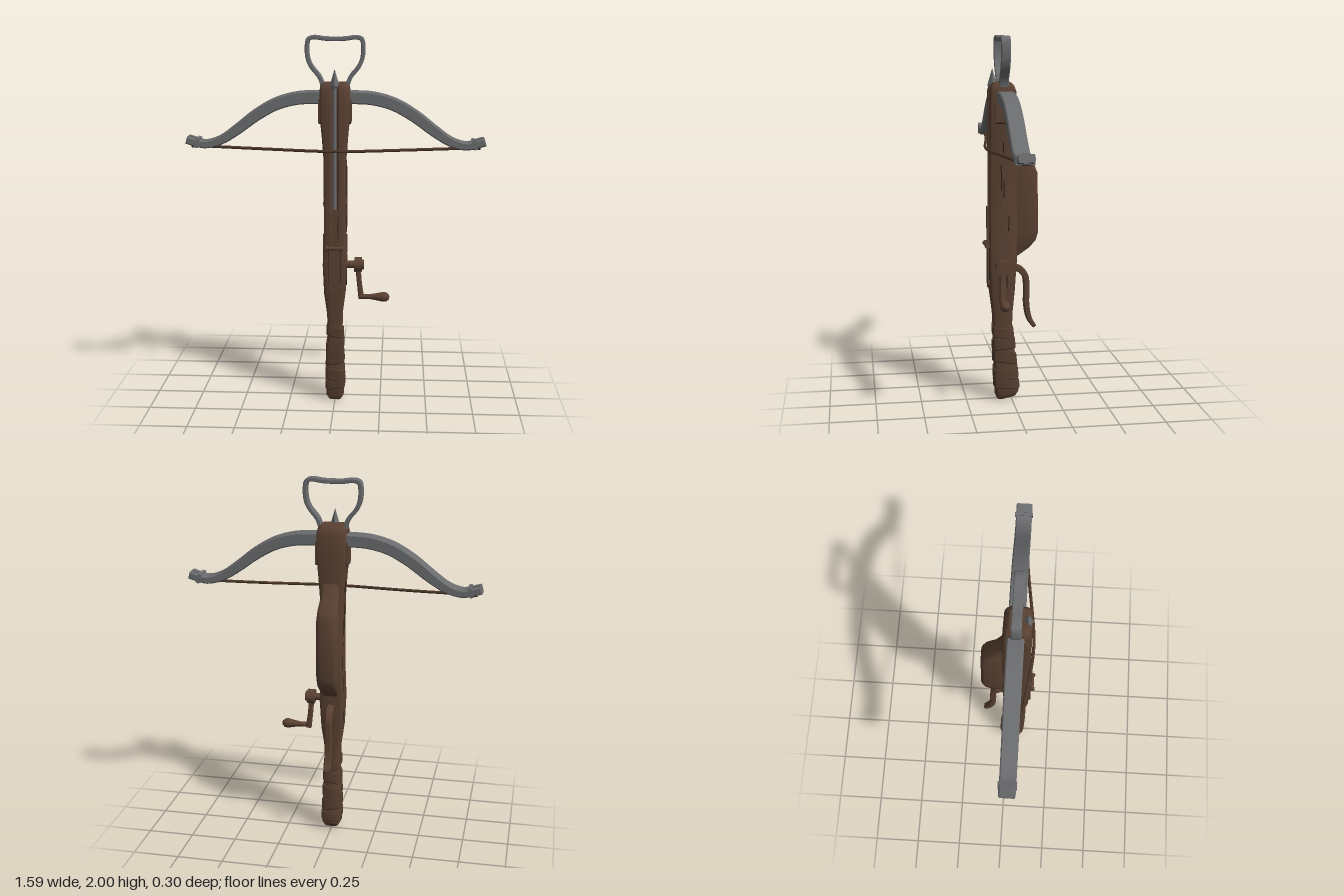
import * as THREE from 'three';
import { toCreasedNormals } from 'three/addons/utils/BufferGeometryUtils.js';

const mat = (name, color) => {
  const m = new THREE.MeshStandardMaterial({ color });
  m.name = name;
  return m;
};

// Stock sections: y, half width, back z, front z, groove depth, corner size
const STOCK = [
  [0.012, 0.036, -0.025, 0.075, 0, 0.02],
  [0.035, 0.048, -0.04, 0.088, 0, 0.025],
  [0.1, 0.048, -0.037, 0.092, 0, 0.025],
  [0.25, 0.044, -0.022, 0.097, 0, 0.025],
  [0.42, 0.04, -0.004, 0.1, 0, 0.022],
  [0.5, 0.042, -0.006, 0.104, 0, 0.02],
  [0.62, 0.057, -0.015, 0.118, 0, 0.018],
  [0.78, 0.064, -0.025, 0.122, 0, 0.016],
  [0.9, 0.06, -0.028, 0.122, 0.002, 0.016],
  [0.98, 0.057, -0.03, 0.122, 0.022, 0.016],
  [1.35, 0.058, -0.03, 0.122, 0.025, 0.016],
  [1.48, 0.068, -0.03, 0.122, 0.025, 0.018],
  [1.6, 0.08, -0.025, 0.122, 0.025, 0.02],
  [1.71, 0.08, -0.02, 0.12, 0.026, 0.022],
  [1.74, 0.075, -0.01, 0.113, 0.026, 0.022],
  [1.757, 0.06, 0.008, 0.098, 0.022, 0.02],
];

// Closed loft along y; each section may also tilt (tz, tx) and narrow at the front (taper)
function loft(sections, crease = 0.6) {
  const pos = [], idx = [];
  let n = 0;
  for (const [y, w, b, f, g, c, tz = 0, tx = 0, taper = 1] of sections) {
    const wf = w * taper, k = c * 0.3;
    const half = [
      [0.012, f - g], [0.021, f], [wf - c, f], [wf - k, f - k], [wf, f - c],
      [w, b + c], [w - k, b + k], [w - c, b],
    ];
    const ring = [...half, ...half.map(([x, z]) => [-x, z]).reverse()];
    n = ring.length;
    for (const [x, z] of ring) pos.push(x, y + tz * (z - 0.03) + tx * x, z);
  }
  const rows = sections.length;
  for (let i = 0; i < rows - 1; i++)
    for (let j = 0; j < n; j++) {
      const a = i * n + j, b = i * n + (j + 1) % n;
      idx.push(a, b, a + n, b, b + n, a + n);
    }
  for (const r of [0, rows - 1]) {
    const s = sections[r], centre = pos.length / 3;
    pos.push(0, s[0], (s[2] + s[3]) / 2);
    for (let j = 0; j < n; j++) {
      const a = r * n + j, b = r * n + (j + 1) % n;
      if (r) idx.push(centre, a, b); else idx.push(centre, b, a);
    }
  }
  const geo = new THREE.BufferGeometry();
  geo.setAttribute('position', new THREE.Float32BufferAttribute(pos, 3));
  geo.setIndex(idx);
  return toCreasedNormals(geo, crease);
}

// Stock section at any height
function stockAt(y) {
  const i = Math.max(1, STOCK.findIndex(s => s[0] >= y));
  const a = STOCK[i - 1], b = STOCK[i], t = (y - a[0]) / (b[0] - a[0]);
  return a.map((v, k) => v + (b[k] - v) * t);
}

// Flat bar following [x, y, thickness] points, extruded from z0 to z1
function ribbon(points, z0, z1, bevel = 0.006, steps = 40) {
  const curve = new THREE.CatmullRomCurve3(points.map(p => new THREE.Vector3(...p)));
  const left = [], right = [];
  for (let i = 0; i <= steps; i++) {
    const p = curve.getPoint(i / steps), t = curve.getTangent(i / steps);
    const l = Math.hypot(t.x, t.y), h = p.z / 2 - bevel;
    left.push(new THREE.Vector2(p.x - t.y / l * h, p.y + t.x / l * h));
    right.unshift(new THREE.Vector2(p.x + t.y / l * h, p.y - t.x / l * h));
  }
  const geo = new THREE.ExtrudeGeometry(new THREE.Shape([...left, ...right]), {
    depth: z1 - z0 - 2 * bevel, bevelThickness: bevel, bevelSize: bevel, bevelSegments: 1,
  });
  geo.translate(0, 0, z0 + bevel);
  return toCreasedNormals(geo, 0.6);
}

export function createModel() {
  const group = new THREE.Group();
  const wood = mat('wood', 0x5a4132), leather = mat('leather', 0x553d2f);
  const steel = mat('steel', 0x6b6c6e), cord = mat('cord', 0x4b3629), dark = mat('dark seam', 0x251a14);
  const add = (name, geo, m, x = 0, y = 0, z = 0) => {
    const mesh = new THREE.Mesh(geo, m);
    mesh.name = name;
    mesh.position.set(x, y, z);
    group.add(mesh);
    return mesh;
  };
  const box = (name, m, w, h, d, x, y, z) => add(name, new THREE.BoxGeometry(w, h, d), m, x, y, z);
  const rod = (name, m, r, len, x, y, z, axis = 'x', sides = 16) => {
    const mesh = add(name, new THREE.CylinderGeometry(r, r, len, sides), m, x, y, z);
    if (axis === 'x') mesh.rotation.z = Math.PI / 2;
    if (axis === 'z') mesh.rotation.x = Math.PI / 2;
    return mesh;
  };

  // Stock and the swollen belly on its back
  add('stock', loft(STOCK.map((s, i) => [...s, i < 2 ? -0.2 : 0])), wood);
  add('belly', loft([
    [0.82, 0.04, -0.035, 0.02, 0, 0.012],
    [0.86, 0.046, -0.092, 0.02, 0, 0.018],
    [0.9, 0.054, -0.13, 0.02, 0, 0.022],
    [0.95, 0.058, -0.145, 0.02, 0, 0.024],
    [1.1, 0.058, -0.142, 0.02, 0, 0.024],
    [1.27, 0.058, -0.14, 0.02, 0, 0.024],
    [1.32, 0.055, -0.12, 0.02, 0, 0.022],
    [1.37, 0.05, -0.07, 0.02, 0, 0.018],
    [1.45, 0.045, -0.03, 0.02, 0, 0.012],
  ].map(s => [...s, 0, 0, 0.82]), 0.8), wood);

  // Leather wraps round the grip, each with a dark lower seam
  for (const [y, h, tz, tx] of [[0.07, 0.045, 0.05, 0.1], [0.13, 0.06, -0.1, -0.15],
    [0.21, 0.06, 0.15, 0.2], [0.29, 0.06, -0.1, 0.2], [0.37, 0.05, 0.1, -0.2]]) {
    const band = (y0, y1, grow) => loft([y0, y1].map(v => {
      const s = stockAt(v);
      return [v, s[1] + grow, s[2] - grow, s[3] + grow, 0, s[5], tz, tx];
    }));
    add('gripWrap', band(y, y + h, 0.006), leather);
    add('wrapSeam', band(y - 0.004, y, 0.003), dark);
  }

  // Bow limbs, tip bindings and cheek blocks
  const half = [[0.1, 1.678, 0.066], [0.2, 1.672, 0.066], [0.31, 1.642, 0.064], [0.42, 1.58, 0.062],
    [0.52, 1.505, 0.056], [0.61, 1.447, 0.046], [0.69, 1.425, 0.04], [0.74, 1.434, 0.04], [0.785, 1.447, 0.04]];
  const bow = [...half.map(([x, y, t]) => [-x, y, t]).reverse(), [0, 1.678, 0.066], ...half];
  add('bow', ribbon(bow, 0, 0.085, 0.006, 72), steel);
  for (const s of [-1, 1]) {
    box('tipBinding', steel, 0.018, 0.052, 0.094, s * 0.735, 1.434, 0.042).rotation.z = s * 0.3;
    box('tipNock', steel, 0.04, 0.05, 0.03, s * 0.765, 1.442, 0.042).rotation.z = s * 0.3;
    box('cheekBlock', wood, 0.012, 0.12, 0.1, s * 0.081, 1.61, 0.045);
    box('cheekSeam', dark, 0.01, 0.008, 0.09, s * 0.08, 1.546, 0.045);
  }

  // Bowstring
  const string = new THREE.CatmullRomCurve3([[-0.745, 1.415, 0.045], [-0.4, 1.407, 0.085], [-0.06, 1.402, 0.13],
    [0.06, 1.402, 0.13], [0.4, 1.407, 0.085], [0.745, 1.415, 0.045]].map(p => new THREE.Vector3(...p)));
  add('bowstring', new THREE.TubeGeometry(string, 48, 0.008, 8), cord);
  for (const s of [-1, 1]) rod('stringLoop', cord, 0.011, 0.05, s * 0.742, 1.415, 0.045);

  // Foot stirrup
  const leg = [[0.062, 1.66, 0.022], [0.066, 1.74, 0.022], [0.082, 1.785, 0.022], [0.125, 1.84, 0.022],
    [0.143, 1.885, 0.022], [0.146, 1.95, 0.022], [0.138, 1.98, 0.022], [0.11, 1.989, 0.022], [0.05, 1.982, 0.022]];
  const loop = [...leg.map(([x, y, t]) => [-x, y, t]), ...leg.slice().reverse()];
  add('stirrup', ribbon(loop, 0.022, 0.072, 0.004, 80), steel);

  // Bolt lying in the groove
  rod('boltShaft', steel, 0.011, 0.74, 0, 1.38, 0.107, 'y', 10);
  const tip = add('boltTip', new THREE.ConeGeometry(0.026, 0.09, 4).toNonIndexed(), steel, 0, 1.785, 0.1);
  tip.geometry.computeVertexNormals();
  add('boltSocket', new THREE.CylinderGeometry(0.026, 0.012, 0.03, 4), steel, 0, 1.725, 0.1);
  for (const s of [-1, 1]) box('fletching', wood, 0.006, 0.1, 0.014, s * 0.014, 1.03, 0.122).rotation.z = -s * 0.14;

  // Lock plate, cross pin and rounded end on the front
  box('lockPlate', wood, 0.06, 0.22, 0.016, 0, 0.79, 0.122);
  rod('lockPlateEnd', wood, 0.03, 0.016, 0, 0.67, 0.122, 'z');
  box('latch', wood, 0.03, 0.2, 0.016, 0, 0.99, 0.125);
  rod('crossPin', wood, 0.01, 0.09, 0, 0.88, 0.135);
  for (const s of [-1, 1]) {
    rod('pinKnob', wood, 0.015, 0.014, s * 0.04, 0.88, 0.135);
    box('lockSeam', dark, 0.004, 0.2, 0.004, s * 0.032, 0.79, 0.122);
  }

  // Crank with its hub, arm and handle
  rod('crankAxle', wood, 0.02, 0.08, 0.09, 0.775, 0.06);
  rod('crankHub', wood, 0.04, 0.04, 0.125, 0.775, 0.06, 'x', 20);
  rod('crankCap', wood, 0.028, 0.016, 0.149, 0.775, 0.06);
  add('crankArm', ribbon([[0.125, 0.775, 0.03], [0.131, 0.69, 0.026], [0.143, 0.59, 0.03]], 0.05, 0.08, 0.005, 8), wood);
  const profile = [[0, 0], [0.014, 0], [0.014, 0.06], [0.019, 0.09], [0.027, 0.13], [0.024, 0.15], [0.012, 0.162], [0, 0.164]];
  const handle = new THREE.LatheGeometry(profile.map(p => new THREE.Vector2(...p)), 16);
  add('crankHandle', handle, wood, 0.132, 0.598, 0.07).rotation.z = -Math.PI / 2;

  // Curved trigger lever behind the grip
  add('trigger', ribbon([[0, 0.75, 0.04], [-0.045, 0.74, 0.036], [-0.078, 0.7, 0.034], [-0.085, 0.62, 0.032],
    [-0.085, 0.54, 0.032], [-0.1, 0.46, 0.03], [-0.128, 0.415, 0.022]], -0.019, 0.019, 0.006, 28), wood)
    .rotation.y = -Math.PI / 2;

  // Side fittings and wood cracks
  for (const s of [-1, 1]) {
    rod('sideScrew', wood, 0.022, 0.012, s * 0.057, 1.11, 0.045);
    box('sideTab', wood, 0.012, 0.1, 0.03, s * 0.06, 0.885, 0.03).rotation.x = -0.15;
    for (const [y, z, h] of [[1.25, 0.06, 0.14], [1.19, 0.045, 0.09], [1.0, 0.02, 0.08], [0.7, 0.03, 0.1], [1.42, 0.05, 0.07]])
      box('woodCrack', dark, 0.004, h, 0.005, s * stockAt(y)[1], y, z).rotation.x = z - 0.04;
  }
  return group;
}
